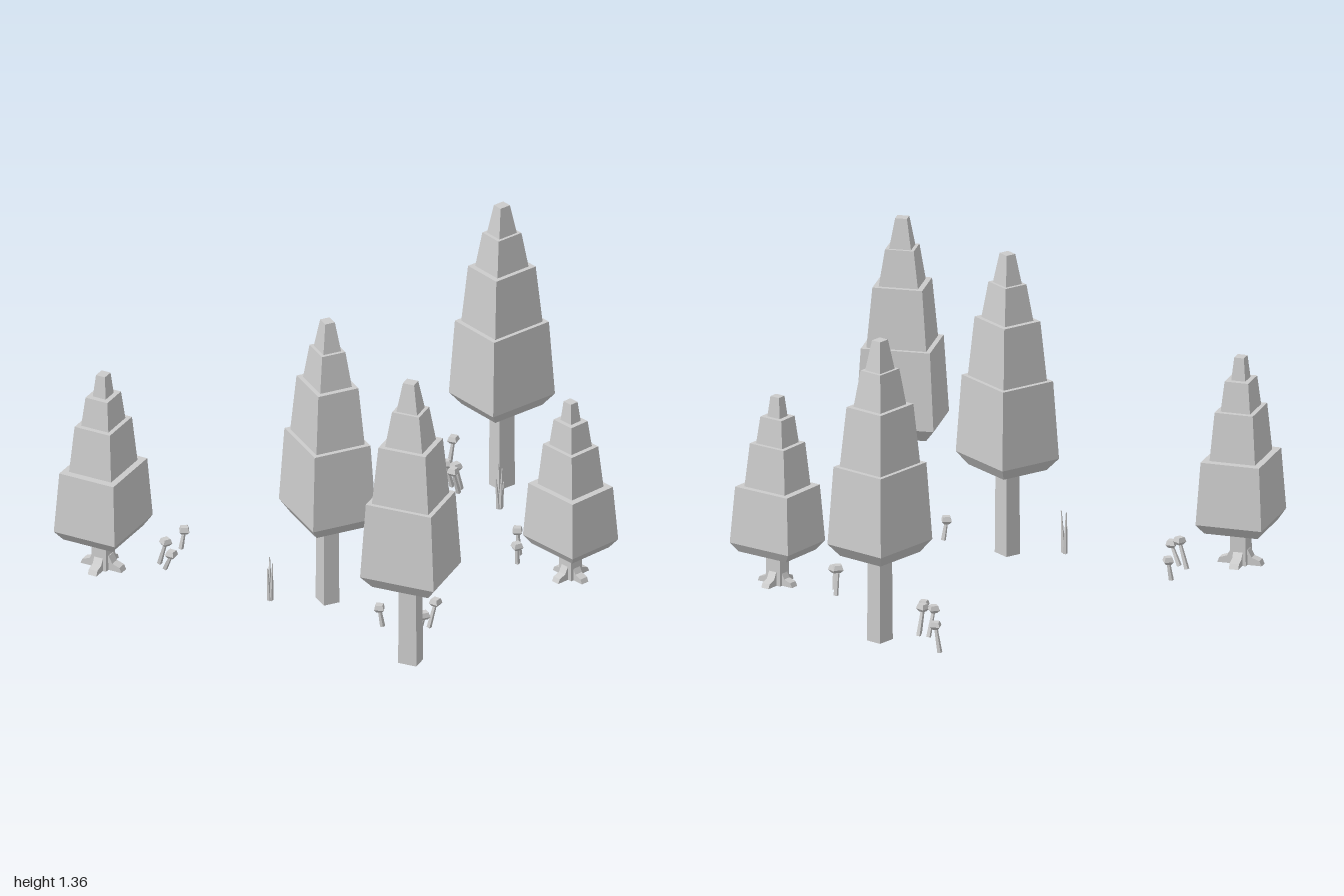
import * as THREE from 'three';

const mat = new THREE.MeshStandardMaterial({ color: 0xcccccc, flatShading: true });
const deg = Math.PI / 180;

// Square-section frustum from y0 to y1; widths are full side lengths
function frustum(name, y0, y1, w0, w1, depthRatio = 1) {
  const geo = new THREE.CylinderGeometry(w1 * Math.SQRT1_2, w0 * Math.SQRT1_2, y1 - y0, 4, 1, false, Math.PI / 4);
  geo.scale(1, 1, depthRatio);
  geo.translate(0, (y0 + y1) / 2, 0);
  const mesh = new THREE.Mesh(geo, mat);
  mesh.name = name;
  return mesh;
}

// Thin tapered rod between two points
function rod(name, from, to, w0, w1) {
  const dir = to.clone().sub(from);
  const mesh = frustum(name, 0, dir.length(), w0, w1);
  mesh.position.copy(from);
  mesh.quaternion.setFromUnitVectors(new THREE.Vector3(0, 1, 0), dir.normalize());
  return mesh;
}

// Each tier: [bottom y, top y, bottom width, top width]
const tallTiers = [
  [0.395, 0.45, 0.26, 0.342], [0.45, 0.797, 0.342, 0.303], [0.797, 1.063, 0.262, 0.218],
  [1.063, 1.225, 0.172, 0.126], [1.225, 1.358, 0.096, 0.052],
];
const smallTiers = [
  [0.17, 0.215, 0.275, 0.34], [0.215, 0.492, 0.34, 0.302], [0.492, 0.705, 0.235, 0.197],
  [0.705, 0.837, 0.152, 0.122], [0.837, 0.937, 0.072, 0.05],
];

function tree(name, tiers, x, z, angle, scale = 1, roots = false) {
  const g = new THREE.Group();
  g.name = name;
  g.add(frustum('trunk', 0.008, tiers[0][0] + 0.02, 0.085, 0.08, 0.85));
  tiers.forEach(([y0, y1, w0, w1], i) => g.add(frustum('foliageTier' + i, y0, y1, w0, w1, 0.87)));
  if (roots) {
    // Sloping wedge roots on the four sides of the trunk
    const side = new THREE.Shape([[0.02, 0.008], [0.1, 0.008], [0.09, 0.03], [0.055, 0.042], [0.038, 0.075], [0.02, 0.075]]
      .map(([a, b]) => new THREE.Vector2(a, b)));
    const geo = new THREE.ExtrudeGeometry(side, { depth: 0.042, bevelEnabled: false });
    geo.translate(0, 0, -0.021);
    for (let i = 0; i < 4; i++) {
      const root = new THREE.Mesh(geo, mat);
      root.name = 'root';
      root.rotation.y = i * Math.PI / 2;
      g.add(root);
    }
  }
  g.position.set(x, 0, z);
  g.rotation.y = angle * deg;
  g.scale.setScalar(scale);
  return g;
}

// Leaning stem with a square faceted cap; (dx, dz) is the lean of the cap
function mushroom(x, z, h, dx, dz, turn) {
  const g = new THREE.Group();
  g.name = 'mushroom';
  g.add(rod('mushroomStem', new THREE.Vector3(-dx, 0.004, -dz), new THREE.Vector3(0, h - 0.02, 0), 0.016, 0.011));
  const cap = new THREE.Group();
  cap.name = 'mushroomCap';
  cap.add(frustum('capUnderside', h - 0.033, h - 0.02, 0.024, 0.042));
  cap.add(frustum('capTop', h - 0.02, h, 0.042, 0.03));
  cap.rotation.y = turn;
  g.add(cap);
  g.position.set(x, 0, z);
  return g;
}

// Tuft of thin blades splaying from a common base
function grass(x, z, tips) {
  const g = new THREE.Group();
  g.name = 'grassTuft';
  tips.forEach(([tx, h, tz]) => {
    g.add(rod('grassBlade', new THREE.Vector3(tx * 0.3, 0, tz * 0.3), new THREE.Vector3(tx, h, tz), 0.015, 0.003));
  });
  g.position.set(x, 0, z);
  return g;
}

export function createModel() {
  const model = new THREE.Group();
  model.name = 'forestPatch';

  model.add(
    tree('tallTreeCentre', tallTiers, 0.123, 0.485, -28, 0.999),
    tree('tallTreeFront', tallTiers, 0.74, 0.72, 13.4),
    tree('tallTreeBack', tallTiers, 0.095, -0.8, 76.2),
    tree('smallTreeRight', smallTiers, -0.828, 0.81, 98, 1, true),
    tree('smallTreeLeft', smallTiers, 0.825, -0.31, -10, 0.907, true),
  );

  // Mushrooms: x, z, height, lean x, lean z
  [
    [-0.185, -0.83, 0.14, 0.02, 0.0], [-0.08, -0.635, 0.14, -0.01, 0.03],
    [-0.03, -0.64, 0.14, -0.005, 0.03], [-0.012, -0.595, 0.14, 0.0, 0.04],
    [-0.65, 0.47, 0.11, 0.01, -0.01], [-0.615, 0.65, 0.14, 0.04, 0.01],
    [-0.562, 0.68, 0.11, 0.045, 0.015], [0.527, -0.33, 0.14, -0.005, 0.01],
    [0.577, -0.26, 0.11, 0.005, 0.01], [0.635, 0.4, 0.14, 0.02, -0.02],
    [0.44, 0.54, 0.11, -0.01, 0.01], [0.667, 0.525, 0.14, 0.04, 0.01],
  ].forEach(([x, z, h, dx, dz], i) => model.add(mushroom(x, z, h, dx, dz, 0.25 + i * 0.5)));

  model.add(
    grass(-0.085, 0.615, [[-0.018, 0.19, -0.02], [0.005, 0.16, 0.025], [0.022, 0.185, 0.012], [-0.01, 0.12, 0.005]]),
    grass(0.205, -0.635, [[-0.02, 0.2, -0.02], [0.022, 0.2, 0.01], [0.0, 0.15, 0.025], [0.008, 0.12, -0.02]]),
  );
  return model;
}
